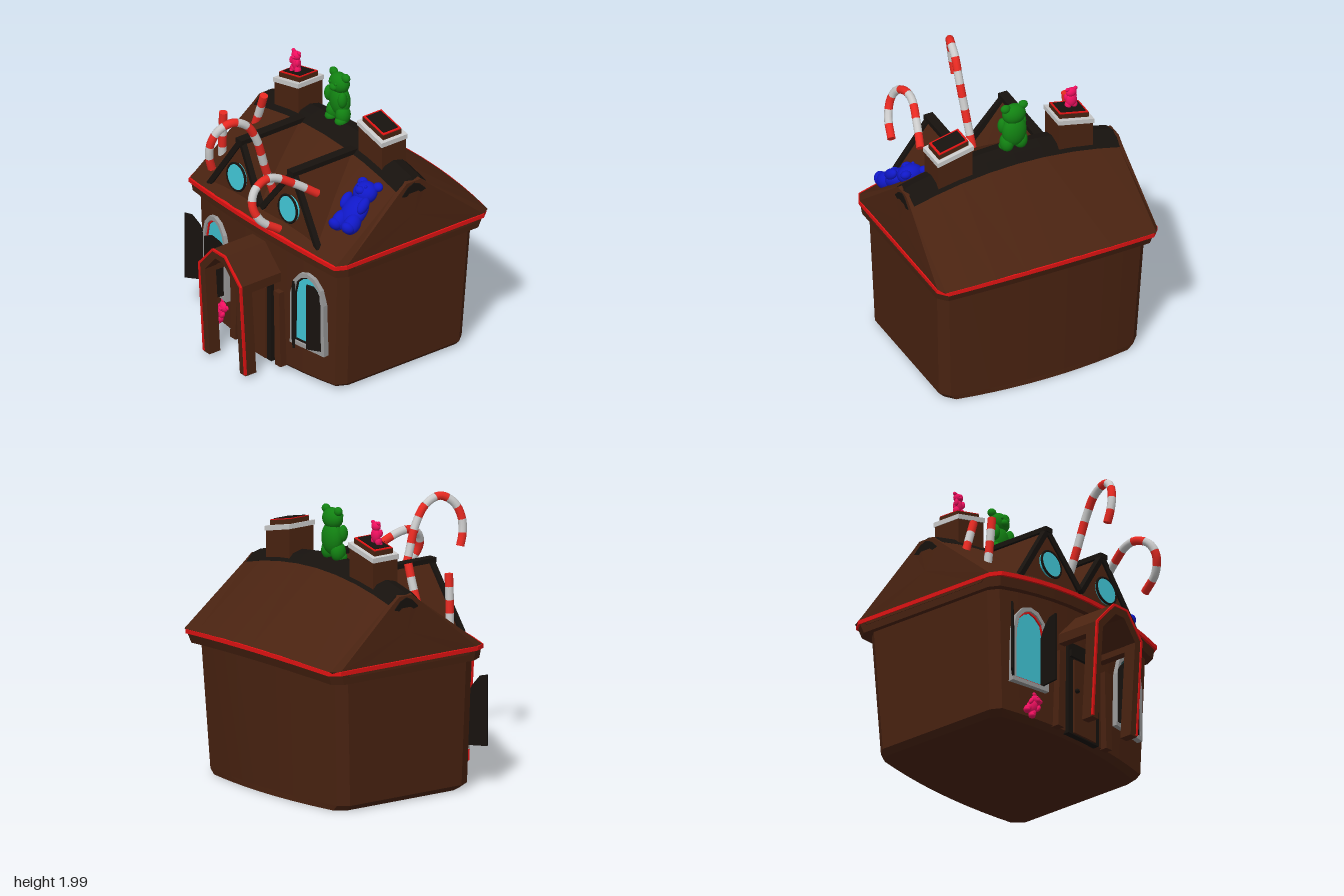
import * as THREE from 'three';
import { mergeGeometries } from 'three/addons/utils/BufferGeometryUtils.js';

const V = (x, y, z) => new THREE.Vector3(x, y, z);
const mat = (color, flatShading = true) =>
  new THREE.MeshStandardMaterial({ color, flatShading, side: THREE.DoubleSide });
const brown = mat(0x4a2311), dark = mat(0x17120e), red = mat(0xe01212), white = mat(0xcccccc);
const grey = mat(0x9a9a9a), glass = mat(0x40c4d4);
const caneRed = mat(0xe82a22, false), caneWhite = mat(0xcccccc, false);

function add(parent, name, geo, material, pos) {
  const m = new THREE.Mesh(geo, material);
  m.name = name;
  if (pos) m.position.set(...pos);
  parent.add(m);
  return m;
}

// Skin through equal-length closed rings of points, with optional end caps
function loft(rings, caps = true) {
  const n = rings[0].length, pos = rings.flat().flatMap(p => p.toArray()), idx = [];
  for (let r = 0; r < rings.length - 1; r++) for (let i = 0; i < n; i++) {
    const a = r * n + i, b = r * n + (i + 1) % n;
    idx.push(a, b, a + n, b, b + n, a + n);
  }
  if (caps) [0, rings.length - 1].forEach((r, k) => {
    const c = rings[r].reduce((s, p) => s.add(p), V(0, 0, 0)).divideScalar(n);
    const ci = pos.length / 3;
    pos.push(c.x, c.y, c.z);
    for (let i = 0; i < n; i++) {
      const a = r * n + i, b = r * n + (i + 1) % n;
      k ? idx.push(a, b, ci) : idx.push(b, a, ci);
    }
  });
  const g = new THREE.BufferGeometry();
  g.setAttribute('position', new THREE.Float32BufferAttribute(pos, 3));
  g.setIndex(idx);
  g.computeVertexNormals();
  return g;
}

// Footprint with bowed front and back and chamfered corners
function outline(y, w, zf, zb, bow = 0.09, lift = 0) {
  const pts = [], n = 10;
  for (let i = 0; i <= n; i++) {
    const t = 2 * i / n - 1, k = 1 - t * t;
    pts.push(V(t * (w - 0.04), y + lift * k, zf + bow * k));
  }
  pts.push(V(w, y, zf - 0.08), V(w, y, zb + 0.07));
  for (let i = 0; i <= n; i++) {
    const t = 1 - 2 * i / n, k = 1 - t * t;
    pts.push(V(t * (w - 0.06), y + lift * 0.7 * k, zb - 0.06 * k));
  }
  pts.push(V(-w, y, zb + 0.07), V(-w, y, zf - 0.08));
  return pts;
}

// Square bar between two points
function bar(parent, name, a, b, w, d, material) {
  const m = add(parent, name, new THREE.BoxGeometry(w, d, a.distanceTo(b)), material);
  m.position.copy(a).lerp(b, 0.5);
  m.lookAt(b);
  return m;
}

const poly = pts => new THREE.Shape(pts.map(p => new THREE.Vector2(...p)));
const extrude = (shape, depth) => new THREE.ExtrudeGeometry(shape, { depth, bevelEnabled: false });

// Striped stick along a smooth path
function cane(parent, pts, bands, r = 0.03) {
  const g = new THREE.Group();
  g.name = 'candyCane';
  const curve = new THREE.CatmullRomCurve3(pts.map(p => V(...p)));
  for (let i = 0; i < bands; i++) {
    const part = [0, 1, 2, 3, 4].map(k => curve.getPointAt((i + k / 4) / bands));
    add(g, 'stripe', new THREE.TubeGeometry(new THREE.CatmullRomCurve3(part), 4, r, 10), i % 2 ? caneWhite : caneRed);
  }
  for (const t of [0, 1]) {
    const p = curve.getPointAt(t);
    add(g, 'caneEnd', new THREE.CircleGeometry(r, 10), t && bands % 2 === 0 ? caneWhite : caneRed, p.toArray())
      .lookAt(p.clone().add(curve.getTangentAt(t)));
  }
  parent.add(g);
}

// Gummy bear of height h, centred on its middle
function bear(parent, name, color, h, pos, rot = [0, 0, 0]) {
  const blob = (x, y, z, a, b, c) => new THREE.SphereGeometry(1, 18, 12).scale(a, b, c).translate(x, y, z);
  const parts = [blob(0, -0.08, 0, 0.23, 0.3, 0.16), blob(0, 0.27, 0.01, 0.22, 0.19, 0.16), blob(0, 0.23, 0.14, 0.09, 0.07, 0.07)];
  for (const s of [-1, 1]) parts.push(
    blob(s * 0.17, 0.42, 0, 0.09, 0.08, 0.07), blob(s * 0.19, 0.02, 0.09, 0.08, 0.15, 0.09),
    blob(s * 0.13, -0.31, 0.03, 0.13, 0.18, 0.14), blob(s * 0.14, -0.41, 0.08, 0.11, 0.09, 0.12),
    blob(s * 0.08, 0.31, 0.15, 0.03, 0.03, 0.03));
  const m = add(parent, name, mergeGeometries(parts).scale(h, h, h), mat(color, false), pos);
  m.rotation.set(...rot);
}

// Arched window outline; i insets every side
const arch = i => [[-0.165 + i, i], [0.165 - i, i], [0.16 - i, 0.4], [0.13 - i * 0.8, 0.51 - i * 0.4],
  [0.07 - i * 0.5, 0.58 - i], [0, 0.6 - i], [-0.07 + i * 0.5, 0.58 - i], [-0.13 + i * 0.8, 0.51 - i * 0.4], [-0.16 + i, 0.4]];
function archFrame(i0, i1, depth) {
  const s = poly(arch(i0));
  s.holes.push(poly(arch(i1)));
  return extrude(s, depth);
}

// Shutter from hinge to free edge, both as [x, z]
function shutter(parent, hinge, free) {
  const dx = free[0] - hinge[0], dz = free[1] - hinge[1], L = Math.hypot(dx, dz);
  const g = extrude(poly([[0, 0], [L, 0], [L, 0.51], [L * 0.6, 0.5], [L * 0.2, 0.43], [0, 0.36]]), 0.016);
  add(parent, 'shutter', g, dark, [hinge[0], 0.3, hinge[1]]).rotation.y = Math.atan2(-dz, dx);
}

// Porch gable band between two insets, leaning back towards the ground
function porchBand(i0, i1, y0, z0, z1) {
  const side = i => [[-0.235 + i, y0], [-0.235 + i, 0.76 - 0.4 * i], [-0.07 + 0.4 * i, 0.94 - i]];
  const full = i => [...side(i), ...side(i).reverse().map(([x, y]) => [-x, y])];
  const g = extrude(poly([...full(i0), ...full(i1).reverse()]), z1 - z0).translate(0, 0, z0);
  const p = g.attributes.position;
  for (let i = 0; i < p.count; i++) p.setZ(i, p.getZ(i) - Math.max(0, 0.94 - p.getY(i)) * 0.06);
  g.computeVertexNormals();
  return g;
}

export function createModel() {
  const house = new THREE.Group();
  house.name = 'candyHouse';

  // Walls, fascia and red eave trim
  add(house, 'walls', loft([outline(0.01, 0.73, 0.39, -0.71), outline(0.05, 0.77, 0.43, -0.71),
    outline(0.97, 0.81, 0.44, -0.76, 0.09, 0.05)]), brown);
  add(house, 'fascia', loft([outline(0.95, 0.8, 0.43, -0.75, 0.09, 0.05), outline(0.95, 0.845, 0.48, -0.82, 0.09, 0.05),
    outline(1.03, 0.855, 0.49, -0.85, 0.09, 0.05)], false), brown);
  add(house, 'eaveTrim', loft([outline(1.02, 0.83, 0.46, -0.82, 0.09, 0.05), outline(1.02, 0.86, 0.505, -0.86, 0.09, 0.05),
    outline(1.05, 0.86, 0.505, -0.86, 0.09, 0.05), outline(1.06, 0.83, 0.47, -0.82, 0.09, 0.05)], false), red);

  // Gable roof with a sagging ridge, in sections along x
  const top = x => 1.51 + 0.12 * (1 - (x / 0.86) ** 2);
  const xs = [-0.855, -0.82, -0.65, -0.45, -0.22, 0, 0.22, 0.45, 0.65, 0.82, 0.855];
  add(house, 'roof', loft(xs.map(x => {
    const end = Math.abs(x) > 0.83, k = Math.max(0, 1 - (x / 0.82) ** 2), t = top(x), u = x * 0.97;
    const zf = end ? 0.42 : 0.495 + 0.09 * k, zb = end ? -0.79 : -0.855 - 0.06 * k;
    return [V(x, 1.05 + 0.05 * k, zf), V(u, t - 0.06, -0.07), V(u, t - 0.01, -0.13), V(u, t - 0.01, -0.25),
      V(u, t - 0.06, -0.31), V(x, 1.05 + 0.035 * k, zb), V(x, 1.0, zb + 0.08), V(x, 1.0, zf - 0.08)];
  })), brown);
  add(house, 'ridgeCap', loft(xs.map(x => {
    const e = Math.abs(x) > 0.83 ? 0.03 : 0, t = top(x) - e, u = x * 0.975;
    return [V(u, t - 0.07, -0.055 - e), V(u, t - 0.015, -0.11 - e), V(u, t + 0.005, -0.19), V(u, t - 0.015, -0.27 + e),
      V(u, t - 0.07, -0.325 + e), V(u, t - 0.1, -0.19)];
  })), dark);

  for (const s of [-1, 1]) {
    // Dormer with timber beams and a round window
    const peak = V(s * 0.29, 1.56, 0.45), outer = V(s * 0.61, 1.09, 0.48), inner = V(0, 1.12, 0.51), back = V(s * 0.29, 1.56, -0.09);
    const low = [outer, inner].map(p => V(p.x, p.y - 0.03, 0.3));
    add(house, 'dormer', loft([[peak, outer, inner], [back, low[0], low[1]]]), brown);
    bar(house, 'dormerRidge', peak.clone().setZ(0.48), back, 0.07, 0.035, dark);
    bar(house, 'dormerBeam', peak, outer, 0.04, 0.04, dark);
    bar(house, 'dormerBeam', peak, V(s * 0.01, 1.18, 0.505), 0.04, 0.04, dark);
    const w = new THREE.Group();
    w.name = 'roundWindow';
    add(w, 'pane', new THREE.CylinderGeometry(0.097, 0.097, 0.03, 24).rotateX(Math.PI / 2), glass);
    add(w, 'windowRing', new THREE.TorusGeometry(0.1, 0.009, 6, 24), dark, [0, 0, 0.012]);
    w.position.set(s * 0.29, 1.285, 0.488);
    w.rotation.x = -0.1;
    house.add(w);

    // Chimney, sheared so that its inner side is higher
    const chimney = new THREE.Group();
    chimney.name = 'chimney';
    for (const [name, w2, d, y0, y1, m] of [['chimneyStack', 0.265, 0.215, 1.42, 1.74, brown], ['chimneyBand', 0.28, 0.23, 1.74, 1.775, white],
      ['chimneyCap', 0.23, 0.165, 1.77, 1.81, brown], ['capTrim', 0.225, 0.16, 1.81, 1.816, red], ['flue', 0.195, 0.13, 1.81, 1.82, dark]]) {
      const g = new THREE.BoxGeometry(w2, y1 - y0, d).translate(s * 0.47, (y0 + y1) / 2, -0.195);
      const p = g.attributes.position;
      for (let i = 0; i < p.count; i++) p.setY(i, p.getY(i) + (0.47 - Math.abs(p.getX(i))) * 0.23);
      g.computeVertexNormals();
      add(chimney, name, g, m);
    }
    house.add(chimney);

    // Arched window
    const win = new THREE.Group();
    win.name = 'archedWindow';
    add(win, 'windowFrame', archFrame(0, 0.03, 0.05), grey);
    add(win, 'windowTrim', archFrame(0.03, 0.042, 0.035), s < 0 ? red : dark);
    add(win, 'windowPane', extrude(poly(arch(0.04)), 0.025), glass);
    win.position.set(s * 0.515, 0.27, 0.465);
    win.rotation.y = s * 0.14;
    house.add(win);

    // Pilaster beside the door
    add(house, 'pilaster', new THREE.BoxGeometry(0.06, 0.58, 0.08), brown, [s * 0.245, 0.33, 0.52]).rotation.z = s * 0.03;
  }
  shutter(house, [-0.67, 0.49], [-0.78, 0.575]);
  shutter(house, [-0.40, 0.51], [-0.425, 0.67]);
  shutter(house, [0.37, 0.51], [0.495, 0.6]);
  shutter(house, [0.67, 0.48], [0.56, 0.55]);

  // Porch and door
  add(house, 'porchPosts', porchBand(0, 0.065, 0.04, 0.79, 0.885), brown);
  add(house, 'porchRoof', porchBand(0, 0.06, 0.69, 0.48, 0.88), brown);
  add(house, 'porchTrim', porchBand(-0.004, 0.012, 0.05, 0.875, 0.892), red);
  add(house, 'doorSurround', new THREE.BoxGeometry(0.32, 0.7, 0.06), dark, [0, 0.38, 0.515]);
  add(house, 'door', new THREE.BoxGeometry(0.23, 0.56, 0.03), brown, [0, 0.32, 0.545]);
  add(house, 'doorLintel', new THREE.BoxGeometry(0.3, 0.05, 0.05), dark, [0, 0.64, 0.54]);
  add(house, 'doorKnob', new THREE.SphereGeometry(0.018, 10, 8), dark, [-0.095, 0.36, 0.57]);

  // Candy canes
  cane(house, [[-0.01, 1.25, 0.39], [0, 1.5, 0.48], [0.01, 1.74, 0.56], [0, 1.87, 0.64], [-0.02, 1.92, 0.75],
    [-0.06, 1.87, 0.84], [-0.09, 1.77, 0.885], [-0.105, 1.65, 0.885], [-0.11, 1.56, 0.86]], 13);
  cane(house, [[0.42, 1.41, 0.34], [0.37, 1.52, 0.5], [0.33, 1.6, 0.65], [0.33, 1.61, 0.75], [0.35, 1.56, 0.85],
    [0.38, 1.47, 0.885], [0.42, 1.36, 0.84], [0.46, 1.27, 0.71]], 9);
  cane(house, [[-0.575, 1.65, 0.03], [-0.62, 1.52, 0.03], [-0.67, 1.38, 0.035]], 3);
  cane(house, [[-0.69, 1.56, 0.3], [-0.705, 1.38, 0.295], [-0.72, 1.19, 0.285]], 4);

  // Gummy bears
  bear(house, 'greenBear', 0x128212, 0.4, [-0.032, 1.8, -0.215]);
  bear(house, 'blueBear', 0x1018c8, 0.44, [0.65, 1.345, 0.17], [-0.88, 0, 0.16]);
  bear(house, 'pinkBear', 0xf01060, 0.18, [-0.49, 1.885, -0.19]);
  bear(house, 'smallPinkBear', 0xf01060, 0.2, [-0.47, 0.14, 0.485], [0, -0.1, -0.55]);
  return house;
}
